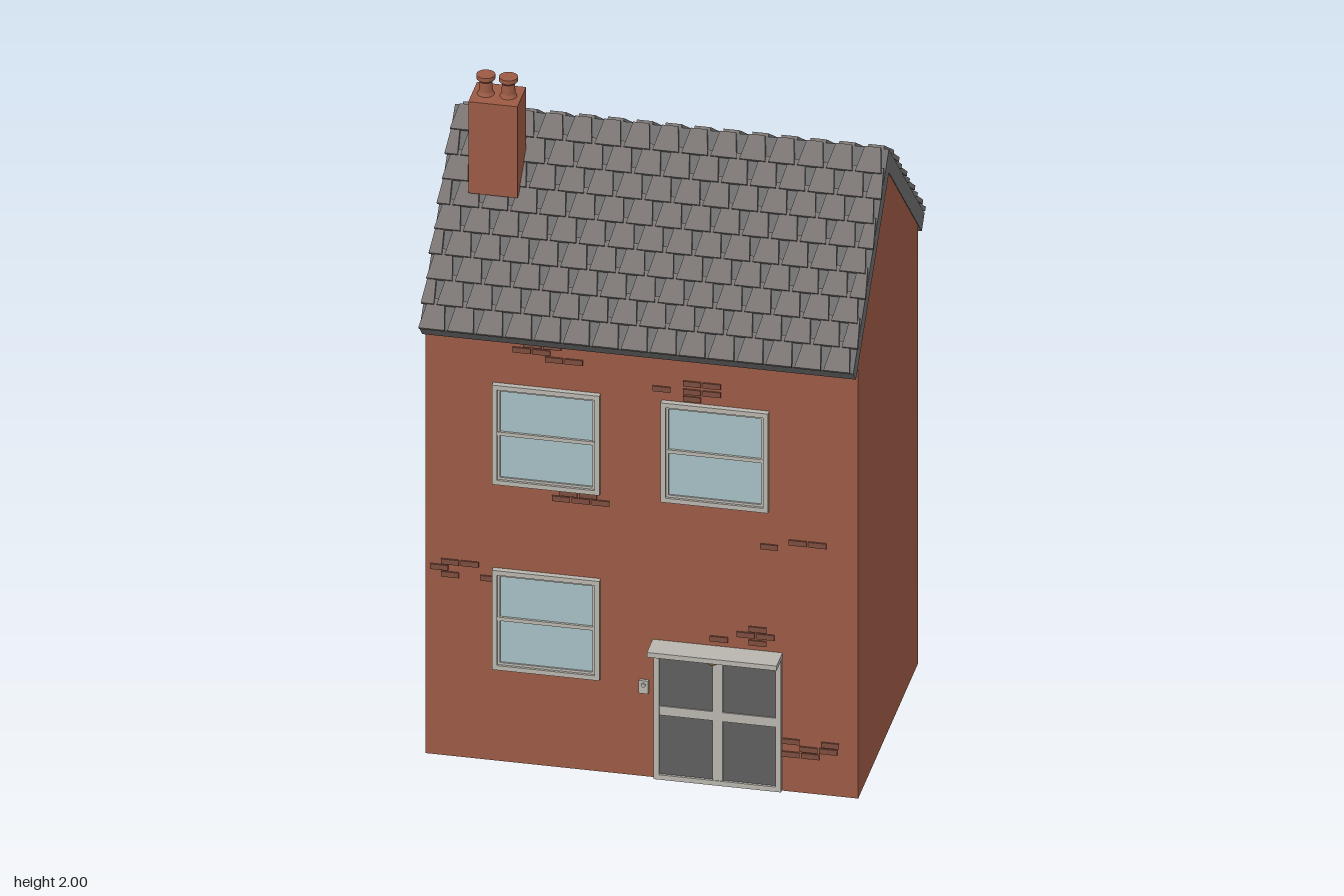
import * as THREE from 'three';
import { mergeGeometries } from 'three/addons/utils/BufferGeometryUtils.js';

const paint = (color) => new THREE.MeshStandardMaterial({ color });
const brick = paint(0x9b5a44), darkBrick = paint(0x7d4c3e), slate = paint(0x787371), slab = paint(0x6c6c6c);
const trim = paint(0xb8b5ad), glass = paint(0xa5bfc4), panel = paint(0x5e5e5e), brass = paint(0x9a7a3c);

const FRONT = 0.388, HALF_W = 0.605, RIDGE = 1.815, EAVE_Z = 0.46, EAVE_Y = 1.365;

function add(parent, name, geometry, material, x = 0, y = 0, z = 0) {
  const mesh = new THREE.Mesh(geometry, material);
  mesh.name = name;
  mesh.position.set(x, y, z);
  parent.add(mesh);
  return mesh;
}

// Box given by its limits
function block(parent, name, material, x0, x1, y0, y1, z0, z1) {
  return add(parent, name, new THREE.BoxGeometry(x1 - x0, y1 - y0, z1 - z0), material,
    (x0 + x1) / 2, (y0 + y1) / 2, (z0 + z1) / 2);
}

// Profile of [z, y] points extruded across the width of the house
function acrossHouse(points, halfWidth) {
  const shape = new THREE.Shape(points.map(([z, y]) => new THREE.Vector2(-z, y)));
  const geometry = new THREE.ExtrudeGeometry(shape, { depth: 2 * halfWidth, bevelEnabled: false });
  return geometry.translate(0, 0, -halfWidth).rotateY(Math.PI / 2);
}

// Rectangular frame with its back on z = 0
function frameGeometry(w, h, border, depth) {
  const rect = (T, a, b) => new T([[-a, -b], [a, -b], [a, b], [-a, b]].map((p) => new THREE.Vector2(...p)));
  const shape = rect(THREE.Shape, w / 2, h / 2);
  shape.holes.push(rect(THREE.Path, w / 2 - border, h / 2 - border));
  return new THREE.ExtrudeGeometry(shape, { depth, bevelEnabled: false });
}

// One tapered slate: wide raised tail, narrow head
function tileGeometry(x0, x1, head, tail) {
  const g = new THREE.BoxGeometry(x1 - x0, 0.013, tail - head);
  const p = g.attributes.position;
  const taper = Math.min(0.014, (x1 - x0) * 0.2);
  for (let i = 0; i < p.count; i++) {
    if (p.getZ(i) < 0) p.setX(i, p.getX(i) - Math.sign(p.getX(i)) * taper);
    p.setY(i, p.getY(i) + (p.getZ(i) < 0 ? 0.003 : 0.013));
  }
  g.translate((x0 + x1) / 2, 0, (head + tail) / 2);
  g.computeVertexNormals();
  return g;
}

function roofTiles() {
  const rows = 9, pitch = 0.0807, half = HALF_W + 0.004;
  const step = Math.hypot(EAVE_Z, RIDGE - EAVE_Y) / rows;
  const tiles = [];
  for (let r = 0; r < rows; r++) {
    const tail = (r + 1) * step + 0.004;
    const head = Math.max(0, tail - 0.09);
    for (let i = 0; i < 16; i++) {
      const start = -half + (i - (r % 2) / 2) * pitch;
      const x0 = Math.max(-half, start + 0.004);
      const x1 = Math.min(half, start + pitch - 0.004);
      if (x1 - x0 > 0.01) tiles.push(tileGeometry(x0, x1, head, tail));
    }
  }
  return mergeGeometries(tiles);
}

function sashWindow(parent, x, y) {
  const g = new THREE.Group();
  g.name = 'window';
  g.position.set(x, y, FRONT - 0.005);
  parent.add(g);
  const w = 0.3, h = 0.31;
  add(g, 'windowFrame', frameGeometry(w, h, 0.014, 0.022), trim);
  add(g, 'sash', frameGeometry(w - 0.026, h - 0.026, 0.008, 0.015), trim);
  block(g, 'glass', glass, -w / 2 + 0.01, w / 2 - 0.01, -h / 2 + 0.01, h / 2 - 0.01, 0, 0.01);
  block(g, 'meetingRail', trim, -w / 2 + 0.012, w / 2 - 0.012, -0.003, 0.008, 0, 0.017);
}

export function createModel() {
  const house = new THREE.Group();
  house.name = 'house';

  // Walls with gables
  add(house, 'walls', acrossHouse([[FRONT, 0], [FRONT, 1.38], [0, 1.758], [-0.383, 1.38], [-0.383, 0]], HALF_W - 0.002), brick);

  // Roof slab and two slopes of slates
  add(house, 'roofSlab', acrossHouse([[0, RIDGE], [EAVE_Z, EAVE_Y], [0.425, 1.328], [0, 1.743],
    [-0.425, 1.328], [-EAVE_Z, EAVE_Y]], HALF_W), slab);
  const tiles = roofTiles();
  for (const turn of [0, Math.PI]) {
    const side = new THREE.Group();
    side.name = turn ? 'backSlope' : 'frontSlope';
    side.rotation.y = turn;
    side.position.y = RIDGE;
    add(side, 'slates', tiles, slate).rotation.x = Math.atan2(RIDGE - EAVE_Y, EAVE_Z);
    house.add(side);
  }

  // Chimney with two flared pots
  block(house, 'chimney', brick, -0.525, -0.388, 1.655, 1.94, 0.087, 0.2);
  const pot = [[0, 0], [0.025, 0], [0.019, 0.012], [0.018, 0.042], [0.026, 0.05], [0.026, 0.062], [0, 0.062]];
  for (const x of [-0.488, -0.425]) {
    const g = new THREE.LatheGeometry(pot.map((p) => new THREE.Vector2(...p)), 20);
    add(house, 'chimneyPot', g.toNonIndexed(), brick, x, 1.938, 0.144).geometry.computeVertexNormals();
  }

  // Windows
  for (const [x, y] of [[-0.265, 1.025], [0.205, 1.025], [-0.265, 0.447]]) sashWindow(house, x, y);

  // Double door with two panes in each leaf
  const door = new THREE.Group();
  door.name = 'door';
  house.add(door);
  add(door, 'doorFrame', frameGeometry(0.355, 0.42, 0.015, 0.016), trim, 0.2125, 0.21, FRONT - 0.005);
  block(door, 'doorPanels', panel, 0.045, 0.38, 0.01, 0.41, FRONT - 0.005, FRONT + 0.004);
  block(door, 'centreStile', trim, 0.198, 0.227, 0.005, 0.41, FRONT - 0.005, FRONT + 0.009);
  block(door, 'middleRail', trim, 0.045, 0.38, 0.2, 0.228, FRONT - 0.005, FRONT + 0.008);

  // Canopy, lamp beneath it and bell
  block(house, 'canopy', trim, 0.03, 0.392, 0.415, 0.43, FRONT - 0.005, 0.464);
  const lamp = new THREE.SphereGeometry(0.021, 20, 10, 0, Math.PI * 2, Math.PI / 2, Math.PI / 2);
  add(house, 'lamp', lamp, brass, 0.207, 0.416, 0.432);
  block(house, 'bellPlate', trim, -0.007, 0.019, 0.262, 0.302, FRONT - 0.005, FRONT + 0.009);
  add(house, 'bellButton', new THREE.CylinderGeometry(0.006, 0.006, 0.008, 12).rotateX(Math.PI / 2), trim, 0.006, 0.29, FRONT + 0.011);

  // Scattered raised bricks: start x, y, number in the run
  const runs = [
    [-0.33, 1.31, 2], [-0.36, 1.29, 2], [-0.27, 1.27, 2],
    [0.115, 1.24, 2], [0.03, 1.215, 1], [0.115, 1.215, 2], [0.115, 1.193, 1],
    [-0.23, 0.858, 2], [-0.25, 0.839, 3],
    [0.41, 0.778, 2], [0.33, 0.757, 1],
    [-0.56, 0.606, 2], [-0.59, 0.587, 1], [-0.56, 0.567, 1], [-0.45, 0.567, 1],
    [0.298, 0.495, 1], [0.265, 0.475, 2], [0.19, 0.453, 1], [0.298, 0.453, 1],
    [0.39, 0.157, 1], [0.5, 0.157, 1], [0.44, 0.137, 2], [0.39, 0.117, 2],
  ];
  const bricks = [];
  for (const [x, y, n] of runs) {
    for (let i = 0; i < n; i++) {
      bricks.push(new THREE.BoxGeometry(0.05, 0.016, 0.01).translate(x + 0.025 + i * 0.055, y, FRONT));
    }
  }
  add(house, 'raisedBricks', mergeGeometries(bricks), darkBrick);

  return house;
}
